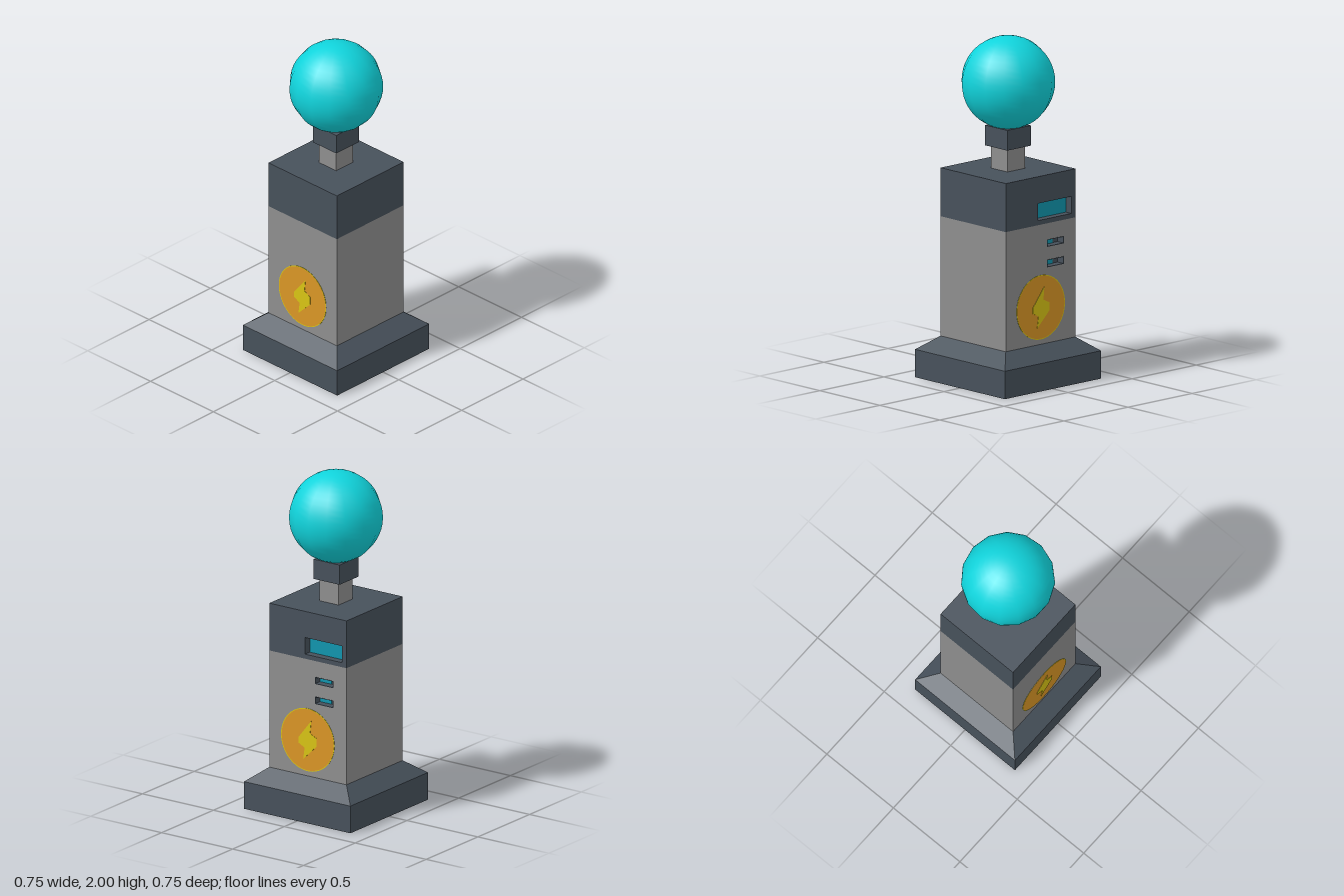
import * as THREE from 'three';

const mat = (name, color) => Object.assign(new THREE.MeshStandardMaterial({ color }), { name });

export function createModel() {
  const slate = mat('slate', 0x47515b);
  const grey = mat('grey', 0x8e8e8e);
  const teal = mat('teal', 0x10d4dc);
  const screen = mat('screen blue', 0x1096ae);
  const orange = mat('orange', 0xda9626);
  const yellow = mat('yellow', 0xd8c414);

  const model = new THREE.Group();
  model.name = 'orbPylon';
  const add = (name, geo, material, parent = model) => {
    const m = new THREE.Mesh(geo, material);
    m.name = name;
    parent.add(m);
    return m;
  };
  const box = (name, x0, x1, y0, y1, z0, z1, material) =>
    add(name, new THREE.BoxGeometry(x1 - x0, y1 - y0, z1 - z0)
      .translate((x0 + x1) / 2, (y0 + y1) / 2, (z0 + z1) / 2), material);

  const H = 0.272;   // half width of the column
  const B = 0.375;   // half width of the base
  const D = 0.05;    // depth of the recesses

  // Outline helpers: u runs across a side panel, v runs up
  const rect = (P, u0, u1, v0, v1) => new P([[u0, v0], [u1, v0], [u1, v1], [u0, v1]]
    .map(([u, v]) => new THREE.Vector2(u, v)));
  const sidePlate = (shape, x, depth) =>
    new THREE.ExtrudeGeometry(shape, { depth, bevelEnabled: false, curveSegments: 32 })
      .rotateY(Math.PI / 2).translate(x, 0, 0);

  // Base with sloped shoulder and grey underside
  box('base', -B, B, 0, 0.163, -B, B, [slate, slate, slate, grey, slate, slate]);
  const slope = new THREE.CylinderGeometry(H * Math.SQRT2, B * Math.SQRT2, 0.08, 4, 1, true)
    .rotateY(Math.PI / 4).translate(0, 0.203, 0).toNonIndexed();
  slope.computeVertexNormals();
  add('baseShoulder', slope, slate);

  // Column: a core plus a pierced panel on the left side
  const slots = [[0.05, 0.18, 0.805, 0.848], [0.05, 0.18, 0.685, 0.73]];
  const display = [-0.02, 0.24, 0.97, 1.07];
  const pierced = (v0, v1, holes) => {
    const s = rect(THREE.Shape, -H, H, v0, v1);
    holes.forEach((h) => s.holes.push(rect(THREE.Path, ...h)));
    return sidePlate(s, H - D, D);
  };
  box('columnCore', -H, H - D, 0.243, 0.943, -H, H, grey);
  add('columnPanel', pierced(0.243, 0.943, slots), grey);
  box('headCore', -H, H - D, 0.943, 1.227, -H, H, slate);
  add('headPanel', pierced(0.943, 1.227, [display]), slate);

  // Display and slots sunk into the panel
  add('display', sidePlate(rect(THREE.Shape, ...display), H - D, 0.004), screen);
  slots.forEach(([u0, u1, v0, v1]) => {
    const t = 0.003;
    const lining = rect(THREE.Shape, u0, u1, v0, v1);
    lining.holes.push(rect(THREE.Path, u0 + t, u1 - t, v0 + t, v1 - t));
    add('slotLining', sidePlate(lining, H - D, D + 0.001), slate);
    add('slotBack', sidePlate(rect(THREE.Shape, u0, u1, v0, v1), H - D, 0.003), slate);
    add('slotLevel', sidePlate(rect(THREE.Shape, u0 + t, u0 + 0.085, v0 + t, v1 - t), H - D, 0.006), screen);
  });

  // Round bolt emblems on both sides
  const bolt = new THREE.Shape([[0.026, 0.578], [-0.064, 0.465], [-0.064, 0.432], [-0.02, 0.41],
    [-0.03, 0.34], [0.064, 0.432], [0.064, 0.48], [0.018, 0.502]]
    .map(([u, v]) => new THREE.Vector2(u, v)));
  const circle = (P, r) => new P().absarc(0, 0.46, r, 0, Math.PI * 2, false);
  const rim = circle(THREE.Shape, 0.188);
  rim.holes.push(circle(THREE.Path, 0.183));
  [['leftEmblem', 0], ['rightEmblem', Math.PI]].forEach(([name, turn]) => {
    const g = new THREE.Group();
    g.name = name;
    g.rotation.y = turn;
    add('emblemDisc', sidePlate(circle(THREE.Shape, 0.183), H, 0.002), orange, g);
    add('emblemRim', sidePlate(rim, H, 0.002), yellow, g);
    add('emblemBolt', sidePlate(bolt, H, 0.004), yellow, g);
    model.add(g);
  });

  // Neck, collar and orb
  box('neck', -0.068, 0.068, 1.227, 1.36, -0.068, 0.068, grey);
  box('collar', -0.092, 0.092, 1.36, 1.478, -0.092, 0.092, slate);
  add('orb', new THREE.SphereGeometry(0.269, 15, 24).rotateY(Math.PI).translate(0, 1.731, 0), teal);

  return model;
}
